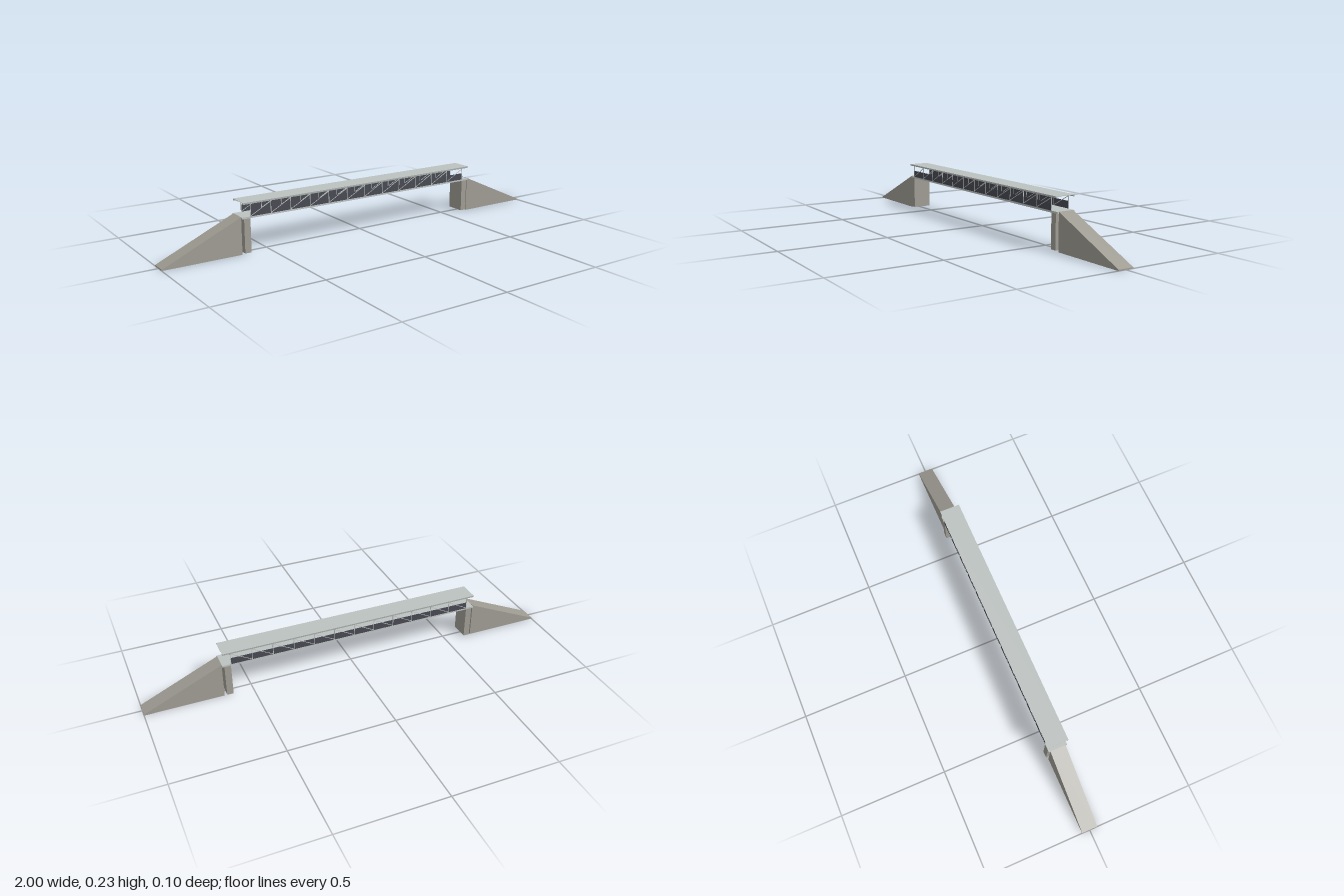
import * as THREE from 'three';

const mat = (name, color, side = THREE.FrontSide) => {
  const m = new THREE.MeshStandardMaterial({ color, side });
  m.name = name;
  return m;
};

export function createModel() {
  const concrete = mat('concrete', 0x9f9c93, THREE.DoubleSide);
  const steel = mat('pale steel', 0xbcc2c0);
  const dark = mat('dark panel', 0x484a52);

  const bridge = new THREE.Group();
  bridge.name = 'footbridge';

  const add = (name, geometry, material, x = 0, y = 0, z = 0) => {
    const mesh = new THREE.Mesh(geometry, material);
    mesh.name = name;
    mesh.position.set(x, y, z);
    bridge.add(mesh);
    return mesh;
  };
  // Box given by its limits
  const box = (name, material, x0, x1, y0, y1, z0, z1) =>
    add(name, new THREE.BoxGeometry(x1 - x0, y1 - y0, z1 - z0), material,
      (x0 + x1) / 2, (y0 + y1) / 2, (z0 + z1) / 2);
  // Leave a box hollow and open underneath
  const openBottom = (geometry) => {
    const index = Array.from(geometry.index.array);
    index.splice(18, 6);
    geometry.setIndex(index);
    geometry.clearGroups();
    return geometry;
  };

  const deckTop = 0.168, roofTop = 0.232, beamLow = 0.224, railZ = 0.0445;

  // Deck and thin flat roof
  box('deck', steel, -0.635, 0.635, 0.16, deckTop, -0.0445, 0.0445);
  box('roof', steel, -0.63, 0.63, roofTop - 0.0015, roofTop, -0.048, 0.048);

  // Ramps and piers at both ends
  for (const s of [-1, 1]) {
    const ramp = openBottom(new THREE.BoxGeometry(0.365, 0.169, 0.074));
    const p = ramp.attributes.position;
    for (let i = 0; i < p.count; i++) {
      // Lower the top edge at the outer toe
      if (p.getX(i) * s > 0 && p.getY(i) > 0) p.setY(i, -0.0845 + 0.005);
    }
    ramp.computeVertexNormals();
    add('ramp', ramp, concrete, s * 0.8175, 0.0845, 0);
    add('pier', openBottom(new THREE.BoxGeometry(0.03, 0.154, 0.089)), concrete, s * 0.61, 0.083, 0);
  }

  // Tapered beam profile under each roof edge
  const profile = new THREE.Shape([
    new THREE.Vector2(-0.004, 0.008), new THREE.Vector2(-0.002, 0),
    new THREE.Vector2(0.002, 0), new THREE.Vector2(0.004, 0.008),
  ]);

  // Side trusses: parapet panel, posts and diagonals
  const bays = 12, half = 0.594, step = (2 * half) / bays, w = 0.0028;
  for (const s of [-1, 1]) {
    const z = s * railZ;
    const beam = add('roofBeam',
      new THREE.ExtrudeGeometry(profile, { depth: 1.26, bevelEnabled: false }),
      steel, -0.63, beamLow, s * 0.0448);
    beam.rotation.y = Math.PI / 2;

    box('parapetPanel', dark, -half, half, deckTop, 0.2, z - 0.0006, z + 0.0006);

    for (let i = 0; i <= bays; i++) {
      const x = -half + i * step;
      box('post', steel, x - w / 2, x + w / 2, deckTop, beamLow, z - w / 2, z + w / 2);
      if (i === bays) continue;
      const rise = beamLow - deckTop - 0.003;
      const brace = add('diagonal', new THREE.BoxGeometry(Math.hypot(step, rise), w * 0.9, w * 0.9),
        steel, x + step / 2, (deckTop + beamLow) / 2, z);
      brace.rotation.z = Math.atan2(rise, step);
    }
  }
  return bridge;
}
